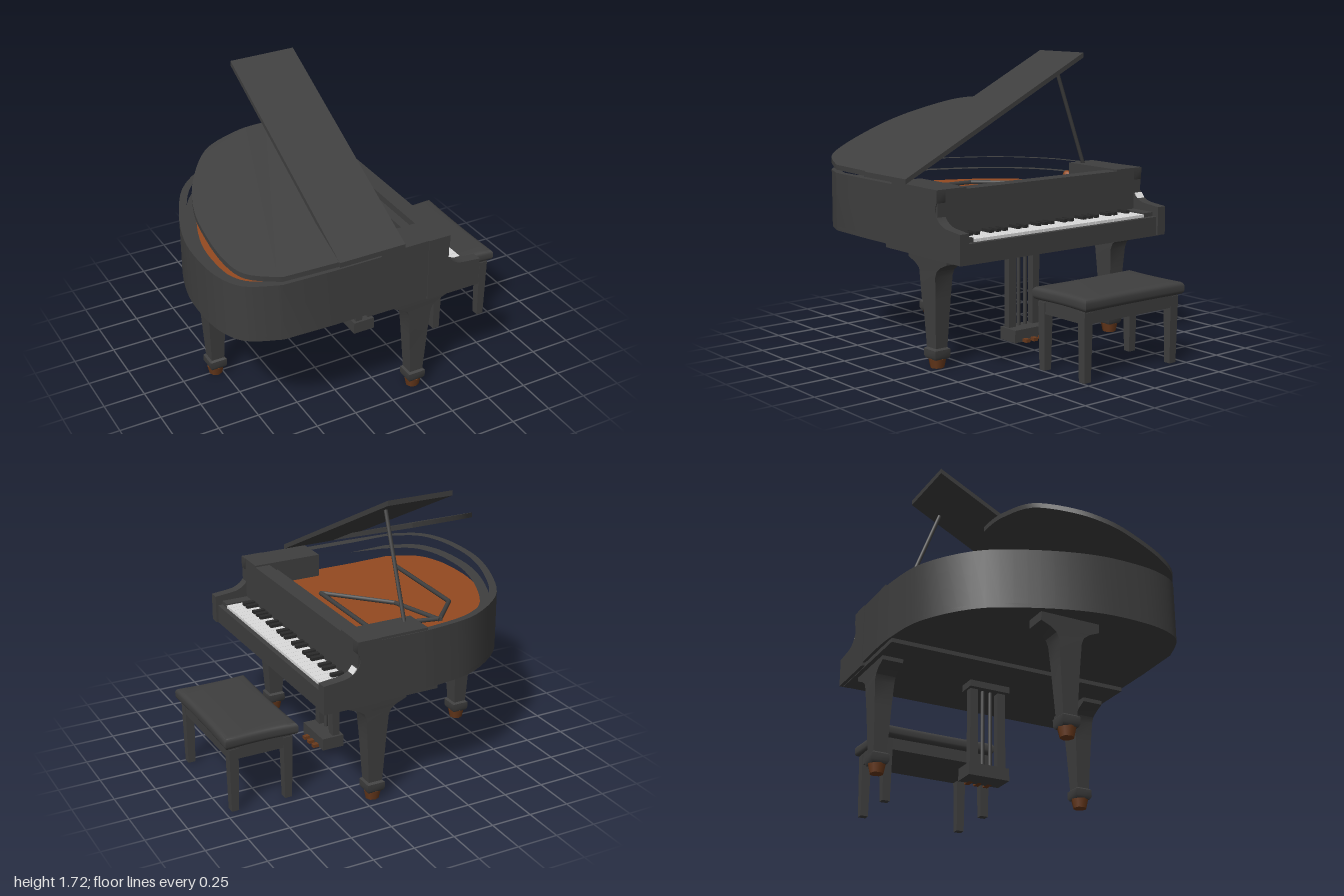
import * as THREE from 'three';
import { toCreasedNormals } from 'three/addons/utils/BufferGeometryUtils.js';

const mat = (name, color) => {
  const m = new THREE.MeshStandardMaterial({ color });
  m.name = name;
  return m;
};

export function createModel() {
  const black = mat('black lacquer', 0x3f3f3f);
  const wood = mat('soundboard orange', 0x944a20);
  const bronze = mat('bronze brown', 0x6a3a1c);
  const ivory = mat('ivory', 0xdcdcdc);
  const ebony = mat('ebony', 0x2a2a2a);

  const model = new THREE.Group();
  const add = (name, geo, material = black, parent = model) => {
    const mesh = new THREE.Mesh(geo, material);
    mesh.name = name;
    parent.add(mesh);
    return mesh;
  };
  const group = (name) => {
    const g = new THREE.Group();
    g.name = name;
    model.add(g);
    return g;
  };
  // box given by its limits on each axis
  const box = (name, x0, x1, y0, y1, z0, z1, material = black, parent = model) => {
    const m = add(name, new THREE.BoxGeometry(x1 - x0, y1 - y0, z1 - z0), material, parent);
    m.position.set((x0 + x1) / 2, (y0 + y1) / 2, (z0 + z1) / 2);
    return m;
  };
  const rod = (name, a, b, r, material = black, parent = model) => {
    const p = new THREE.Vector3(...a), q = new THREE.Vector3(...b);
    const m = add(name, new THREE.CylinderGeometry(r, r, p.distanceTo(q), 8), material, parent);
    m.position.copy(p).add(q).multiplyScalar(0.5);
    m.quaternion.setFromUnitVectors(new THREE.Vector3(0, 1, 0), q.sub(p).normalize());
    return m;
  };
  // plan outlines are [x, z] pairs; a slab is a plan extruded upward
  const curve = (pts, n = 40) =>
    new THREE.SplineCurve(pts.map(([x, z]) => new THREE.Vector2(x, -z))).getPoints(n);
  const corner = (x, z) => new THREE.Vector2(x, -z);
  const slab = (outline, y0, y1, hole) => {
    const shape = new THREE.Shape(outline);
    if (hole) shape.holes.push(new THREE.Path(hole));
    const g = new THREE.ExtrudeGeometry(shape, { depth: y1 - y0, bevelEnabled: false });
    g.rotateX(-Math.PI / 2).translate(0, y0, 0);
    return toCreasedNormals(g, 0.6);
  };
  // square-section post whose half widths follow rows of [y, halfX, halfZ]
  const post = (rows) => {
    const n = rows.length - 1;
    const g = new THREE.BoxGeometry(1, 1, 1, 1, n, 1);
    const p = g.attributes.position;
    for (let i = 0; i < p.count; i++) {
      const [y, hx, hz] = rows[Math.round((p.getY(i) + 0.5) * n)];
      p.setXYZ(i, Math.sign(p.getX(i)) * hx, y, Math.sign(p.getZ(i)) * hz);
    }
    return toCreasedNormals(g, 0.5);
  };

  // case: curved rim, inner ledge, soundboard and floor
  const tail = [[-0.7, 0.75], [-0.88, 0.67], [-0.96, 0.54], [-0.99, 0.35], [-0.975, 0.09],
    [-0.88, -0.21], [-0.72, -0.5], [-0.45, -0.7], [-0.18, -0.76], [0, -0.77]];
  const outer = [corner(0.335, 0.76), corner(-0.4, 0.76), ...curve(tail), corner(0.335, -0.765)];
  const inside = (s) => [corner(0.24, 0.7), corner(-0.4, 0.7),
    ...curve(tail.map(([x, z]) => [x * s, z * s])), corner(0.24, -0.7)];
  add('rim', slab(outer, 0.68, 1.025, inside(0.95)));
  add('innerLedge', slab(inside(0.96), 0.86, 0.96, inside(0.89)));
  add('soundboard', slab(inside(0.95), 0.86, 0.885), wood);
  add('caseFloor', slab(outer, 0.675, 0.7));

  // fixed top pieces around the opening
  for (const s of [-1, 1]) {
    box('sideTopBlock', -0.1, 0.335, 0.9, 1.04, s < 0 ? -0.765 : 0.56, s < 0 ? -0.57 : 0.76);
  }
  box('fallboard', 0.24, 0.335, 0.68, 1.03, -0.72, 0.72);
  box('pinBlock', 0.185, 0.26, 0.88, 0.99, -0.57, 0.56);

  // cast frame bars on the soundboard
  const frame = group('castFrame');
  const bars = [[-0.4, -0.4, -0.6, -0.18], [-0.42, -0.39, 0.02, -0.3], [-0.6, -0.18, -0.62, 0.5],
    [0.02, -0.56, 0.02, 0.3], [-0.3, -0.05, 0.02, 0.3], [-0.3, -0.05, -0.4, -0.4]];
  for (const [x0, z0, x1, z1] of bars) rod('frameBar', [x0, 0.895, z0], [x1, 0.895, z1], 0.014, black, frame);
  add('frameKnob', new THREE.SphereGeometry(0.03, 10, 6), wood, frame).position.set(-0.17, 0.95, -0.62);

  // keyboard end: bed, lip, end blocks and scrolled cheeks
  box('underBed', -0.18, 0.53, 0.65, 0.69, -0.75, 0.75);
  box('keyBed', 0.3, 0.53, 0.65, 0.745, -0.71, 0.71);
  box('keySlip', 0.5, 0.53, 0.66, 0.765, -0.71, 0.71);
  const cheek = new THREE.Shape();
  cheek.moveTo(0.2, 0.655);
  cheek.lineTo(0.545, 0.655);
  cheek.lineTo(0.545, 0.825);
  cheek.lineTo(0.44, 0.835);
  cheek.bezierCurveTo(0.37, 0.84, 0.33, 0.88, 0.322, 0.92);
  cheek.quadraticCurveTo(0.322, 0.95, 0.337, 0.97);
  cheek.lineTo(0.337, 1.04);
  cheek.lineTo(0.2, 1.04);
  for (const z of [-0.77, 0.705]) {
    const g = new THREE.ExtrudeGeometry(cheek, { depth: 0.06, bevelEnabled: false, curveSegments: 8 });
    add('cheek', toCreasedNormals(g, 0.6)).position.z = z;
  }
  for (const z of [-0.71, 0.64]) box('keyEndBlock', 0.33, 0.5, 0.74, 0.79, z, z + 0.07);
  const patch = box('cheekPlate', 0.335, 0.375, 0.868, 0.874, -0.768, -0.712, ivory);
  patch.rotation.z = -0.95;

  // keys
  const keys = group('keys');
  const count = 26, pitch = 1.28 / count;
  for (let i = 0; i < count; i++) {
    const z = 0.64 - i * pitch;
    box('whiteKey', 0.33, 0.5, 0.74, 0.782, z - pitch + 0.002, z, ivory, keys);
    if (i < count - 1 && ![2, 6].includes(i % 7)) {
      box('blackKey', 0.33, 0.41, 0.77, 0.8, z - pitch - 0.014, z - pitch + 0.014, ebony, keys);
    }
  }

  // raised lid: each plan leaf is sheared upward from the hinge side
  const leaf = (name, outline, slope) => {
    const g = slab(outline, 0, 0.03);
    const p = g.attributes.position;
    for (let i = 0; i < p.count; i++) p.setY(i, p.getY(i) + 1.04 + slope * (0.76 - p.getZ(i)));
    g.computeVertexNormals();
    add(name, toCreasedNormals(g, 0.6));
  };
  leaf('curvedLid', [corner(-0.3, 0.76), ...curve([[-0.7, 0.75], [-0.88, 0.67], [-0.95, 0.54],
    [-0.97, 0.35], [-0.955, 0.2], [-0.88, 0.03], [-0.72, -0.15], [-0.5, -0.225], [-0.36, -0.24]]),
  corner(-0.3, -0.24)], 0.385);
  leaf('frontLid', [corner(0.043, 0.765), corner(-0.365, 0.765), corner(-0.365, -0.555),
    corner(0.043, -0.555)], 0.5);
  rod('propStick', [-0.03, 1.03, -0.627], [-0.03, 1.63, -0.4], 0.012);

  // legs with flared tops, collars and castors
  const legRows = [[0.06, 0.047, 0.044], [0.075, 0.054, 0.052], [0.115, 0.054, 0.052], [0.125, 0.043, 0.04],
    [0.4, 0.06, 0.052], [0.54, 0.07, 0.06], [0.575, 0.085, 0.06], [0.6, 0.12, 0.062],
    [0.625, 0.18, 0.063], [0.68, 0.18, 0.065]];
  for (const [x, z, turn] of [[0.185, 0.66, 0], [0.185, -0.66, 0], [-0.79, 0, Math.PI / 2]]) {
    const leg = group('leg');
    leg.position.set(x, 0, z);
    leg.rotation.y = turn;
    add('legPost', post(legRows), black, leg);
    add('castor', new THREE.CylinderGeometry(0.052, 0.04, 0.055, 8), bronze, leg).position.y = 0.0345;
  }

  // pedal lyre
  const lyre = group('pedalLyre');
  box('lyreTop', 0.08, 0.19, 0.61, 0.66, -0.13, 0.13, black, lyre);
  box('pedalBox', 0.09, 0.23, 0.065, 0.14, -0.13, 0.13, black, lyre);
  for (const s of [-1, 1]) {
    box('lyrePost', 0.11, 0.155, 0.13, 0.62, s * 0.09 - 0.025, s * 0.09 + 0.025, black, lyre);
    rod('lyreRod', [0.13, 0.13, s * 0.025], [0.13, 0.62, s * 0.025], 0.012, black, lyre);
  }
  for (const z of [-0.06, 0, 0.06]) box('pedal', 0.2, 0.265, 0.065, 0.085, z - 0.015, z + 0.015, bronze, lyre);

  // bench: pinched cushion, apron and tapered legs
  const bench = group('bench');
  bench.position.set(0.777, 0, -0.1);
  const seat = new THREE.Shape();
  seat.moveTo(-0.195, -0.345);
  seat.quadraticCurveTo(0, -0.325, 0.195, -0.345);
  seat.quadraticCurveTo(0.18, 0, 0.195, 0.345);
  seat.quadraticCurveTo(0, 0.325, -0.195, 0.345);
  seat.quadraticCurveTo(-0.18, 0, -0.195, -0.345);
  const cushion = new THREE.ExtrudeGeometry(seat, { depth: 0.025, bevelSize: 0.028, bevelThickness: 0.025,
    bevelSegments: 4, curveSegments: 8 });
  cushion.rotateX(-Math.PI / 2).translate(0, 0.432, 0);
  add('cushion', toCreasedNormals(cushion, 0.8), black, bench);
  box('apron', -0.19, 0.19, 0.335, 0.42, -0.35, 0.35, black, bench);
  for (const x of [-0.165, 0.165]) {
    for (const z of [-0.325, 0.325]) {
      const leg = add('benchLeg', post([[0.01, 0.022, 0.024], [0.4, 0.028, 0.03]]), black, bench);
      leg.position.set(x, 0, z);
    }
  }
  return model;
}
